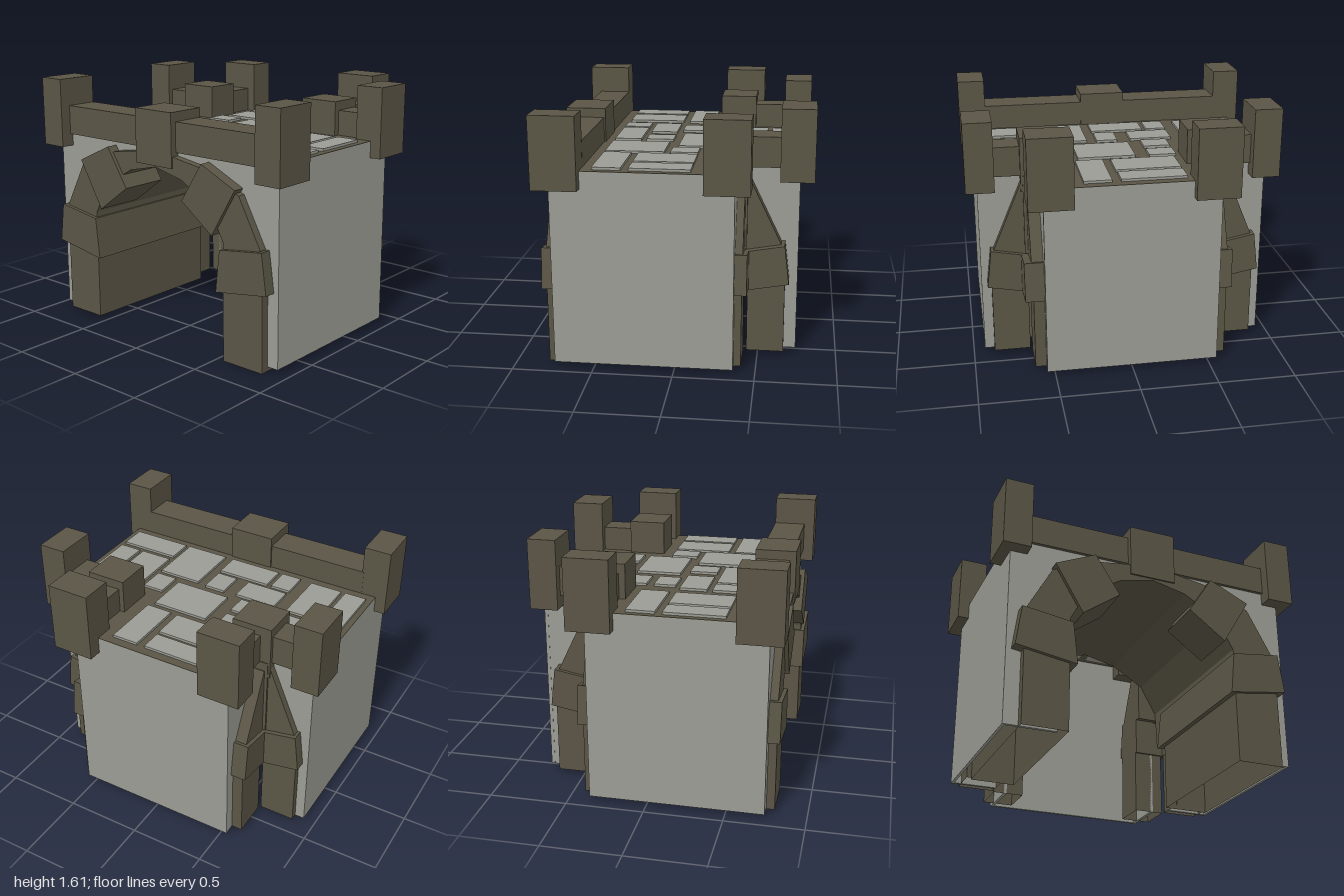
import * as THREE from 'three';

const mat = (name, color) => {
  const m = new THREE.MeshStandardMaterial({ color, side: THREE.DoubleSide, flatShading: true });
  m.name = name;
  return m;
};

export function createModel() {
  const model = new THREE.Group();
  const dark = mat('darkStone', 0x5a5545);
  const grey = mat('greyStone', 0x9b9c94);

  const add = (name, geo, material) => {
    const mesh = new THREE.Mesh(geo, material);
    mesh.name = name;
    model.add(mesh);
    return mesh;
  };

  // Box given by its ranges; open boxes have no bottom face
  const box = (name, material, xa, xb, ya, yb, za, zb, open = false) => {
    const geo = new THREE.BoxGeometry(Math.abs(xb - xa), yb - ya, Math.abs(zb - za));
    if (open) {
      const idx = Array.from(geo.index.array);
      idx.splice(18, 6);
      geo.setIndex(idx);
      geo.clearGroups();
    }
    geo.translate((xa + xb) / 2, (ya + yb) / 2, (za + zb) / 2);
    return add(name, geo, material);
  };

  const extrude = (pts, depth) => new THREE.ExtrudeGeometry(
    new THREE.Shape(pts.map(p => new THREE.Vector2(p[0], p[1]))), { depth, bevelEnabled: false });

  // Prism along x with a (z, y) outline
  const prismX = (name, material, pts, xa, xb) =>
    add(name, extrude(pts, xb - xa).rotateY(-Math.PI / 2).translate(xb, 0, 0), material);

  // Prism along z with an (x, y) outline
  const prismZ = (name, material, pts, za, zb) =>
    add(name, extrude(pts, Math.abs(zb - za)).translate(0, 0, Math.min(za, zb)), material);

  const mirrored = half => [...half, ...half.slice().reverse().filter(p => p[0] !== 0).map(p => [-p[0], p[1]])];

  // Floor slab, with a short arm to the side
  box('floor', dark, -0.745, 0.365, 1.2605, 1.263, -0.928, 0.928);
  box('floorArm', dark, 0.365, 0.742, 1.2605, 1.263, -0.552, 0.552);

  // Paving stones: x0, x1, z0, z1
  [
    [-0.482, -0.103, -0.89, -0.745], [-0.482, -0.103, -0.715, -0.5], [-0.058, 0.12, -0.89, -0.49],
    [-0.49, -0.315, -0.415, -0.28], [-0.28, -0.105, -0.41, -0.13], [-0.07, 0.07, -0.365, -0.19],
    [0.12, 0.255, -0.365, -0.19], [0.295, 0.51, -0.34, 0.075], [0.54, 0.685, -0.34, 0.07],
    [-0.49, -0.315, -0.25, 0.105], [-0.28, -0.1, -0.04, 0.1], [-0.045, 0.245, -0.1, 0.275],
    [0.29, 0.685, 0.125, 0.3], [-0.49, -0.115, 0.165, 0.455], [-0.075, 0.1, 0.315, 0.455],
    [-0.49, -0.315, 0.485, 0.885], [-0.27, 0.102, 0.49, 0.707], [-0.27, 0.102, 0.735, 0.885],
  ].forEach(([a, b, c, d]) => box('pavingStone', grey, a, b, 1.26, 1.279, c, d));

  // Arched opening on the open side, with the vault behind it
  const inner = [[0.56, 0.5], [0.55, 0.75], [0.44, 0.95], [0.22, 1.08], [0, 1.13]];
  const outer = [[0.84, 0.5], [0.83, 0.76], [0.67, 1.055], [0.36, 1.18], [0, 1.235]];
  const shell = inner.map(([z, y]) => [z * 1.03, y + 0.02]);
  const arcBand = (a, b) => [...mirrored(a), ...mirrored(b).reverse()];
  prismX('archRing', dark, arcBand(inner, outer), -0.795, -0.73);
  prismX('vault', dark, arcBand(inner, shell), -0.74, 0.36);
  prismX('archWall', grey, [[0.925, 0.03], [0.925, 1.26], [-0.925, 1.26], [-0.925, 0.03],
    [-0.6, 0.03], ...mirrored(shell).reverse(), [0.6, 0.03]], -0.745, -0.725);

  // Closed end wall of the arm
  box('armWall', grey, 0.72, 0.742, 0.03, 1.2605, -0.552, 0.552);

  for (const s of [1, -1]) {
    const zy = pts => pts.map(([z, y]) => [z * s, y]);

    // Outer walls and the walls of the corner notch
    box('longWall', grey, -0.745, 0.365, 0.03, 1.2605, s * 0.91, s * 0.928);
    box('notchWall', grey, 0.345, 0.365, 0.03, 1.2605, s * 0.63, s * 0.91);
    box('armSideWall', grey, 0.43, 0.73, 0.03, 1.2605, s * 0.53, s * 0.55);

    // Long pier beside the passage, its capital band and a wedge-shaped arch stone
    box('pier', dark, -0.797, 0.215, s > 0 ? 0 : 0.02, 0.52, s * 0.55, s * (s > 0 ? 0.85 : 0.835), true);
    prismX('pierCapital', dark, zy([[0.51, 0.44], [0.54, 0.71], [0.86, 0.755], [0.895, 0.5]]), -0.82, 0.25);
    prismX('archStone', dark, zy([[0.48, 0.785], [0.24, 0.96], [0.4, 1.21], [0.66, 1.09]]), -0.82, -0.5);

    // Notch pillar on the long wall, with capital and tapering top
    box('notchPillar', dark, 0.21, 0.41, 0.03, 0.52, s * 0.63, s * 0.865, true);
    prismX('notchCapital', dark, zy([[0.625, 0.455], [0.892, 0.505], [0.862, 0.755], [0.625, 0.71]]), 0.25, 0.44);
    prismX('notchTaper', dark, zy([[0.56, 0.7], [0.845, 0.745], [0.655, 1.2], [0.56, 1.2]]), 0.25, 0.412);

    // Notch pillar on the arm
    const capEnd = s > 0 ? 0.672 : 0.65;
    box('armPillar', dark, 0.43, 0.665, 0.03, 0.52, s * 0.42, s * 0.62, true);
    prismZ('armCapital', dark, [[0.41, 0.455], [0.69, 0.505], [0.66, 0.755], [0.41, 0.71]], s * 0.42, s * capEnd);
    prismZ('armTaper', dark, [[0.36, 0.7], [0.64, 0.745], [0.43, 1.18], [0.36, 1.18]], s * 0.42, s * 0.625);

    // Spine where the two tapers meet
    box('notchSpine', dark, 0.36, 0.425, 0.72, 1.24, s * 0.55, s * 0.645);

    // Corner posts of the parapet
    box('cornerPost', dark, -0.835, -0.556, 1.155, 1.605, s * 0.82, s * 1);
    box('cornerPost', dark, 0.185, 0.461, 1.155, 1.605, s * 0.82, s * 1);
    const shift = s > 0 ? 0.03 : 0;
    box('armPost', dark, 0.62, 0.8 + shift, 1.155, 1.605, s * 0.373, s * 0.65);

    // Inner corner post and its two rails
    box('innerPost', dark, 0.18, 0.42, 1.135, 1.485, s * 0.397, s * 0.658);
    box('armRail', dark, 0.41, 0.63, 1.235, 1.425, s * 0.43, s * (s > 0 ? 0.61 : 0.587));
    box('sideRail', dark, 0.22, 0.395, 1.235, 1.425, s * 0.65, s * 0.83);
  }

  // Parapet over the arch
  box('archRail', dark, -0.765, -0.555, 1.235, 1.425, -0.83, 0.83);
  box('middlePost', dark, -0.805, -0.545, 1.14, 1.485, -0.157, 0.147);

  return model;
}
